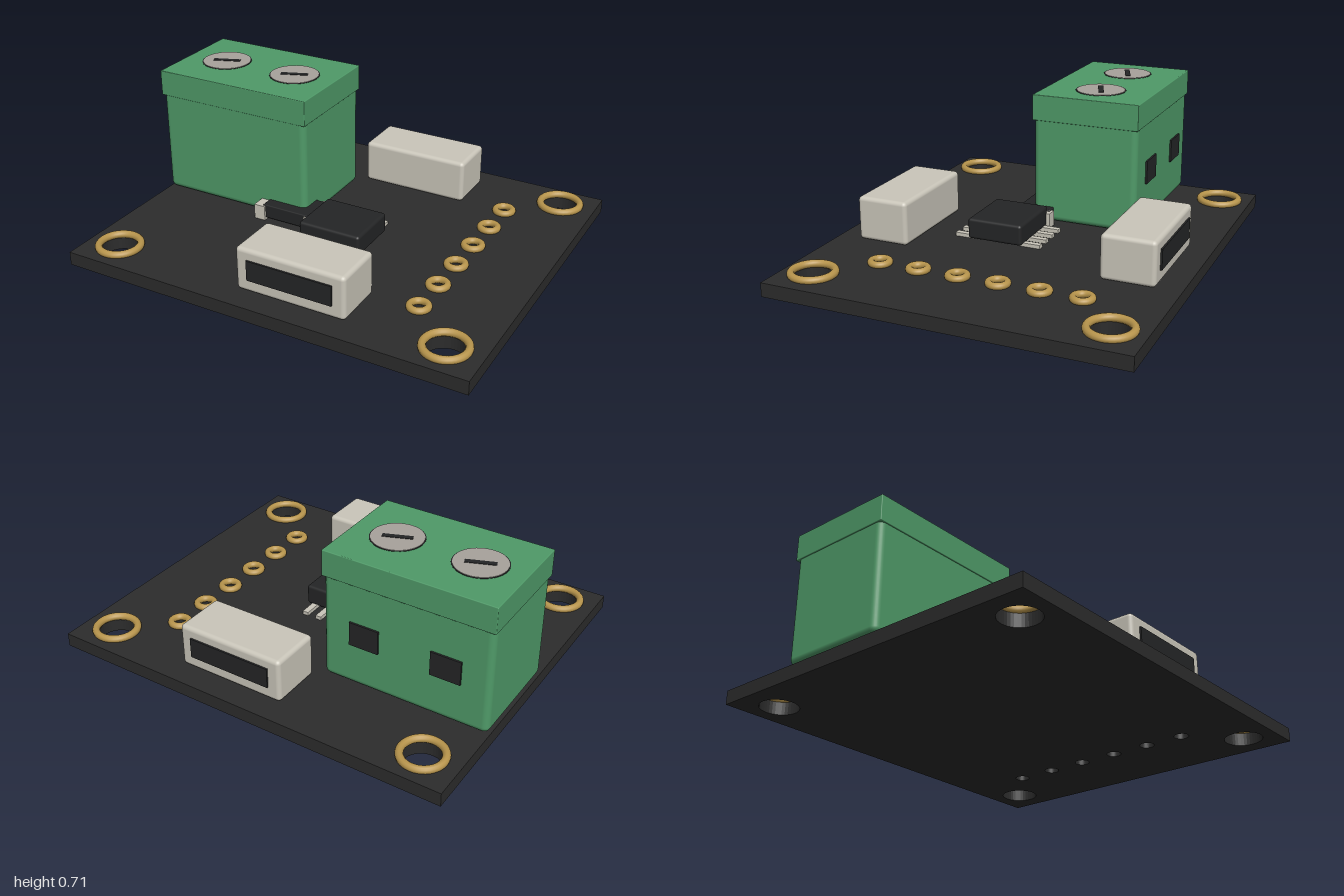
import * as THREE from 'three';
import { RoundedBoxGeometry } from 'three/addons/geometries/RoundedBoxGeometry.js';

const mat = (name, color) => new THREE.MeshStandardMaterial({ name, color });

export function createModel() {
  const model = new THREE.Group();
  model.name = 'circuitBoard';
  const boardBlack = mat('board black', 0x2c2c2c);
  const chipBlack = mat('chip black', 0x242526);
  const green = mat('terminal green', 0x4f9a68);
  const gold = mat('pad gold', 0xb8954c);
  const pale = mat('pale metal', 0xcac6ba);
  const steel = mat('screw steel', 0xa8a29c);

  const add = (name, geo, material, x = 0, y = 0, z = 0, parent = model) => {
    const m = new THREE.Mesh(geo, material);
    m.name = name;
    m.position.set(x, y, z);
    parent.add(m);
    return m;
  };
  // Box from its limits; a radius rounds the edges
  const box = (name, material, [x0, x1], [y0, y1], [z0, z1], r = 0, parent = model) => {
    const s = [x1 - x0, y1 - y0, z1 - z0];
    const geo = r ? new RoundedBoxGeometry(...s, 3, r) : new THREE.BoxGeometry(...s);
    return add(name, geo, material, (x0 + x1) / 2, (y0 + y1) / 2, (z0 + z1) / 2, parent);
  };

  // Plated holes: outer and inner ring radius, drilled radius
  const holes = [];
  for (const x of [-0.83, 0.83]) for (const z of [-0.69, 0.69])
    holes.push({ name: 'mountingRing', x, z, outer: 0.115, inner: 0.079, drill: 0.09 });
  for (let i = 0; i < 6; i++)
    holes.push({ name: 'pinPad', x: 0.612, z: -0.488 + i * 0.194, outer: 0.058, inner: 0.024, drill: 0.035 });

  // Board with drilled holes
  const T = 0.066;
  const outline = new THREE.Shape();
  outline.moveTo(-1, -0.845).lineTo(1, -0.845).lineTo(1, 0.845).lineTo(-1, 0.845).closePath();
  for (const h of holes) {
    const path = new THREE.Path();
    path.absarc(h.x, -h.z, h.drill, 0, Math.PI * 2, true);
    outline.holes.push(path);
  }
  const boardGeo = new THREE.ExtrudeGeometry(outline, { depth: T, bevelEnabled: false, curveSegments: 20 });
  boardGeo.rotateX(-Math.PI / 2);
  add('board', boardGeo, boardBlack);

  // Gold rings around the holes
  for (const h of holes) {
    const tube = (h.outer - h.inner) / 2;
    const geo = new THREE.TorusGeometry((h.outer + h.inner) / 2, tube, 12, 40);
    geo.rotateX(Math.PI / 2);
    add(h.name, geo, gold, h.x, 0.077, h.z);
  }

  // Screw terminal block
  const terminal = new THREE.Group();
  terminal.name = 'screwTerminal';
  model.add(terminal);
  box('terminalBody', green, [-0.995, -0.185], [0.07, 0.61], [-0.443, 0.083], 0.03, terminal);
  box('terminalCap', green, [-1, -0.18], [0.578, 0.705], [-0.448, 0.088], 0.004, terminal);
  for (const x of [-0.79, -0.395]) {
    add('screwRim', new THREE.CylinderGeometry(0.123, 0.123, 0.006, 40), chipBlack, x, 0.7035, -0.183, terminal);
    add('screwHead', new THREE.CylinderGeometry(0.118, 0.118, 0.006, 40), steel, x, 0.7055, -0.183, terminal);
    const slot = add('screwSlot', new THREE.BoxGeometry(0.135, 0.005, 0.026), chipBlack, x, 0.708, -0.183, terminal);
    slot.rotation.y = 0.37;
    box('wireOpening', chipBlack, [x - 0.072, x + 0.072], [0.28, 0.395], [-0.454, -0.445], 0, terminal);
  }

  // Front and back connectors, each with a dark opening facing outwards
  for (const s of [1, -1]) {
    const g = new THREE.Group();
    g.name = s > 0 ? 'frontConnector' : 'backConnector';
    model.add(g);
    add('connectorShell', new RoundedBoxGeometry(0.54, 0.212, 0.256, 3, 0.02), pale, 0.12, 0.174, s * 0.603, g);
    add('connectorOpening', new THREE.BoxGeometry(0.42, 0.098, 0.009), chipBlack, 0.12, 0.18, s * 0.735, g);
  }

  // Eight-lead chip
  box('chipBody', chipBlack, [-0.12, 0.197], [0.076, 0.176], [-0.02, 0.254], 0.014);
  for (let i = 0; i < 4; i++) {
    const x = -0.071 + i * 0.074;
    for (const z of [[-0.102, 0], [0.234, 0.334]])
      box('chipLead', pale, [x - 0.015, x + 0.015], [T, 0.084], z);
  }

  // Surface resistor with metal ends
  box('resistorBody', chipBlack, [-0.39, -0.135], [0.076, 0.146], [-0.025, 0.143], 0.006);
  for (const x of [[-0.433, -0.375], [-0.158, -0.1]])
    box('resistorEnd', pale, x, [T, 0.14], [-0.038, 0.153]);

  return model;
}
